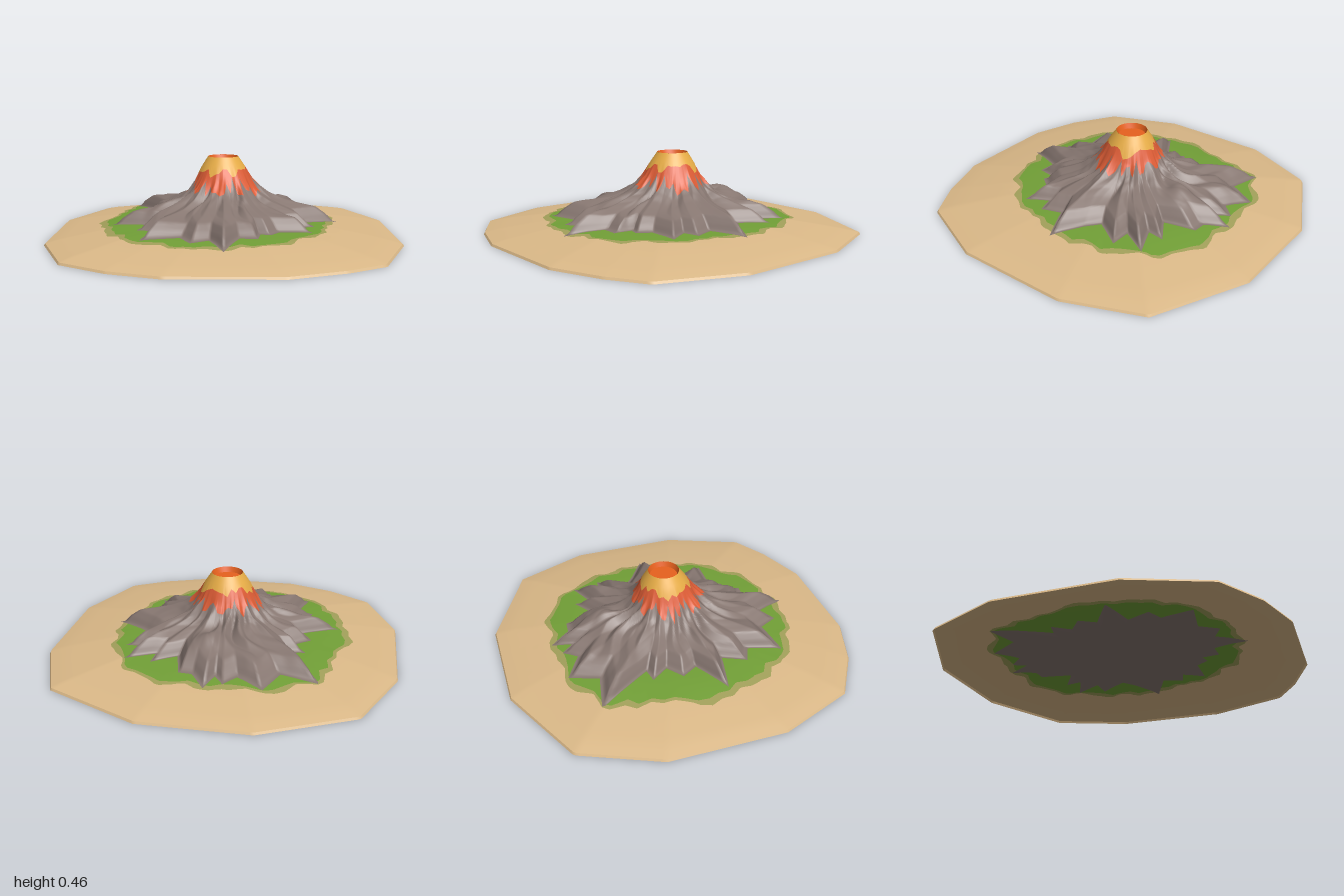
import * as THREE from 'three';

const TAU = Math.PI * 2;
const { lerp, smoothstep } = THREE.MathUtils;

// Star-shaped outlines: flat lists of [degrees, radius, ...]
const SHORE = [18, 1.035, 43.5, 1.11, 56, 1.07, 73, 1.043, 106, 1.038, 122, 1.065, 138, 1.105, 162, 1.04,
  198.5, 1.043, 223.5, 1.105, 253, 1.045, 286, 1.04, 317, 1.105, 341.5, 1.035];
const ROCK_EDGE = [1, 0.66, 12, 0.48, 23, 0.55, 30, 0.48, 37, 0.6, 50, 0.47, 60, 0.5, 65, 0.46, 71, 0.55, 81, 0.52,
  90, 0.725, 98, 0.56, 106, 0.63, 115, 0.55, 130, 0.69, 139, 0.52, 148, 0.57, 158, 0.46, 169, 0.66, 179, 0.45,
  189, 0.51, 200, 0.44, 207, 0.54, 213, 0.48, 223.5, 0.81, 234, 0.64, 246, 0.74, 255, 0.61, 262, 0.67, 266, 0.6,
  270, 0.71, 278, 0.6, 285, 0.61, 296, 0.46, 304, 0.6, 309, 0.52, 316, 0.68, 322, 0.52, 329, 0.61, 340, 0.45, 350, 0.51];
const GRASS_EDGE = [0, 0.645, 30, 0.63, 60, 0.68, 90, 0.68, 110, 0.7, 130, 0.72, 155, 0.71, 180, 0.71, 200, 0.7,
  224, 0.8, 245, 0.75, 270, 0.69, 290, 0.72, 312, 0.73, 335, 0.67];

// Slope height by fraction of the way from rim to foot
const SLOPE = [0, 0.455, 0.08, 0.39, 0.15, 0.32, 0.22, 0.27, 0.3, 0.235, 0.45, 0.2, 0.6, 0.178, 0.78, 0.155, 0.9, 0.11, 1, 0.075];
// Ground height by fraction of the shore radius
const BEACH = [0, 0.085, 0.5, 0.083, 0.62, 0.077, 0.75, 0.058, 0.92, 0.03, 0.994, 0.012, 1, 0];

const RIM = 0.088;

// Straight-sided outline radius at an angle
function outline(list, a) {
  const n = list.length / 2;
  const deg = ((a / TAU) * 360 + 720) % 360;
  let k = n - 1;
  for (let i = 0; i < n; i++) if (list[i * 2] <= deg) k = i;
  const m = (k + 1) % n;
  const rad = (d) => (((d + 360) % 360) / 360) * TAU;
  const span = rad(list[m * 2] - list[k * 2]);
  const t = rad(deg - list[k * 2]);
  const r1 = list[k * 2 + 1], r2 = list[m * 2 + 1];
  return (r1 * r2 * Math.sin(span)) / (r1 * Math.sin(t) + r2 * Math.sin(span - t));
}

function curve(list, t) {
  for (let i = 2; i < list.length; i += 2) {
    if (t <= list[i]) {
      const f = Math.max(0, (t - list[i - 2]) / (list[i] - list[i - 2]));
      return lerp(list[i - 1], list[i + 1], f);
    }
  }
  return list[list.length - 1];
}

const hash = (i) => {
  const v = Math.sin(i * 127.1 + 3.7) * 43758.5453;
  return v - Math.floor(v);
};

// Repeating random wave around the circle, 0 to 1
function jag(a, count, seed) {
  const u = (((a / TAU) % 1) + 1) % 1 * count;
  const i = Math.floor(u);
  return lerp(hash(i + seed), hash(((i + 1) % count) + seed), u - i);
}

const shore = (a) => outline(SHORE, a);
const groundY = (a, r) => curve(BEACH, r / shore(a));
const rockEdge = (a) => outline(ROCK_EDGE, a);

function rockY(a, r) {
  const edge = rockEdge(a);
  const reach = lerp(0.62, edge, smoothstep(r, 0.1, 0.3));
  const s = Math.min(1, (r - RIM) / (reach - RIM));
  const mid = smoothstep(r, 0.13, 0.25) * (1 - s);
  // shoulder on the rear ridge, and gullies that wander downhill
  const da = (a / TAU) * 360 - 275;
  const bump = 0.055 * Math.exp(-((da / 9) ** 2) - (((r - 0.4) / 0.08) ** 2));
  const gully = 0.07 * (jag(a + 0.12 * Math.sin(r * 14), 52, 11) - 0.5);
  const y = curve(SLOPE, s) + bump + mid * gully;
  return lerp(y, groundY(a, edge) + 0.002, smoothstep(s, 0.88, 1));
}

// Flat underside of the mountain, meeting its foot
function floorY(a, r) {
  const edge = rockEdge(a);
  return lerp(0.068, groundY(a, edge) - 0.002, smoothstep(r / edge, 0.85, 1));
}

// Ring surface between two radius rules, with height from a rule
function ring(name, material, inner, outer, height, rows, cols = 360) {
  const pos = [], index = [];
  for (let j = 0; j <= rows; j++) {
    for (let i = 0; i < cols; i++) {
      const a = (i / cols) * TAU;
      const r = lerp(inner(a), outer(a), j / rows);
      const lean = 1 - smoothstep(r, 0.05, 0.4); // summit sits slightly off centre
      pos.push(Math.cos(a) * r - 0.008 * lean, height(a, r), Math.sin(a) * r - 0.036 * lean);
      if (j < rows) {
        const n = (i + 1) % cols, p = j * cols, q = p + cols;
        index.push(p + i, p + n, q + i, p + n, q + n, q + i);
      }
    }
  }
  const g = new THREE.BufferGeometry();
  g.setAttribute('position', new THREE.Float32BufferAttribute(pos, 3));
  g.setIndex(index);
  g.computeVertexNormals();
  const mesh = new THREE.Mesh(g, material);
  mesh.name = name;
  return mesh;
}

function paint(name, color) {
  const m = new THREE.MeshStandardMaterial({ color, side: THREE.DoubleSide });
  m.name = name;
  return m;
}

export function createModel() {
  const group = new THREE.Group();
  group.name = 'volcanoIsland';
  const sand = paint('sand', 0xdbb988);
  const scrub = paint('scrub', 0xa2a05a);
  const grass = paint('grass', 0x72a037);
  const rock = paint('rock', 0x877771);
  const lava = paint('lava', 0xdc5c35);
  const glow = paint('glow', 0xe6ac46);
  const magma = paint('magma', 0xec641f);

  // Boundaries between the colour bands
  const grassEdge = (a) => outline(GRASS_EDGE, a) - 0.045 + 0.045 * jag(a, 70, 5);
  const scrubEdge = (a) => grassEdge(a) + 0.012 + 0.04 * jag(a, 50, 40);
  const lavaEdge = (a) => 0.15 + 0.08 * jag(a, 60, 90);
  const glowEdge = (a) => 0.125 + 0.03 * jag(a, 36, 200);
  const lip = (a) => shore(a) * 0.994;
  const flat = (v) => () => v;

  // Island ground
  group.add(ring('beach', sand, scrubEdge, lip, groundY, 8));
  group.add(ring('shoreLip', sand, lip, shore, groundY, 1));
  group.add(ring('scrubBand', scrub, grassEdge, scrubEdge, groundY, 2));
  group.add(ring('grassBand', grass, flat(0.36), grassEdge, groundY, 4));

  // Mountain
  group.add(ring('rockSlopes', rock, lavaEdge, rockEdge, rockY, 32));
  group.add(ring('rockFloor', rock, flat(0.001), rockEdge, floorY, 12));
  group.add(ring('lavaStreaks', lava, glowEdge, lavaEdge, rockY, 6));
  group.add(ring('glowingRim', glow, flat(RIM), glowEdge, rockY, 4));

  // Crater
  group.add(ring('craterWall', magma, flat(0.078), flat(RIM), (a, r) => lerp(0.425, 0.455, (r - 0.078) / 0.01), 2, 48));
  group.add(ring('craterPool', magma, flat(0.001), flat(0.078), flat(0.425), 3, 48));

  return group;
}
